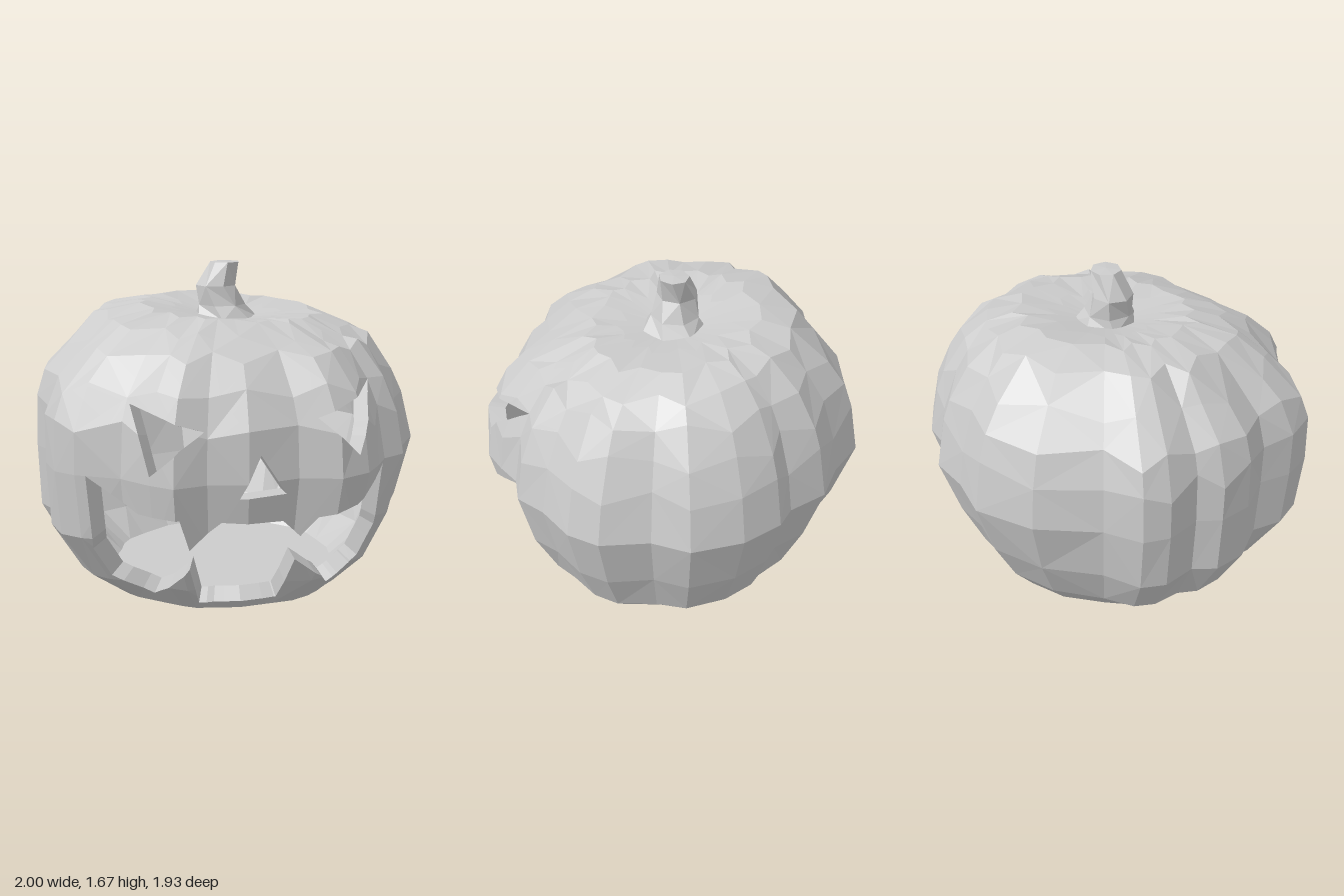
import * as THREE from 'three';

const material = new THREE.MeshStandardMaterial({ color: 0xcccccc, flatShading: true, side: THREE.DoubleSide });

// Lobed plan outline [x, z], from the left side round the front, right and back
const OUTLINE = [
  [1, 0.03], [0.98, 0.2], [0.87, 0.38], [0.82, 0.54], [0.7, 0.61], [0.63, 0.73], [0.55, 0.84], [0.4, 0.92],
  [0.2, 0.88], [-0.05, 0.95], [-0.24, 0.92], [-0.4, 0.96], [-0.5, 0.88], [-0.62, 0.75], [-0.83, 0.65],
  [-0.92, 0.57], [-0.96, 0.4], [-0.91, 0.24], [-1, 0.05], [-0.99, -0.12], [-0.91, -0.22], [-0.92, -0.4],
  [-0.86, -0.52], [-0.68, -0.61], [-0.44, -0.85], [-0.15, -0.97], [0.07, -0.91], [0.28, -0.9],
  [0.45, -0.77], [0.57, -0.75], [0.75, -0.62], [0.9, -0.4], [0.9, -0.2],
];
// Horizontal rings [height, lobe strength, scale to the left, right, front, back]
const RINGS = [
  [0, 0.3, 0.65, 0.67, 0.64, 0.64], [0.16, 0.7, 0.82, 0.86, 0.78, 0.76], [0.42, 1, 0.92, 0.99, 0.94, 0.89],
  [0.74, 1, 1, 1, 1, 1], [0.98, 1, 0.94, 1, 0.985, 0.96], [1.14, 1, 0.865, 0.95, 0.9, 0.9],
  [1.29, 0.9, 0.775, 0.81, 0.74, 0.79], [1.39, 0.7, 0.66, 0.67, 0.6, 0.64], [1.445, 0.4, 0.5, 0.45, 0.42, 0.45],
  [1.42, 0.2, 0.28, 0.28, 0.28, 0.28], [1.395, 0, 0.13, 0.13, 0.13, 0.13],
];
// Carved openings [x, y]
const MOUTH = [
  [-0.78, 0.74], [-0.75, 0.36], [-0.66, 0.19], [-0.45, 0.08], [-0.39, 0.17], [-0.31, 0.3], [-0.24, 0.05],
  [0.15, 0.05], [0.21, 0.3], [0.36, 0.18], [0.43, 0.08], [0.61, 0.19], [0.68, 0.37], [0.69, 0.72],
  [0.5, 0.58], [0.3, 0.54], [0.22, 0.44], [0.13, 0.53], [-0.17, 0.55], [-0.32, 0.42], [-0.37, 0.58], [-0.55, 0.58],
];
const HOLES = [
  MOUTH,
  [[-0.57, 1.09], [-0.5, 0.78], [-0.37, 0.91], [-0.25, 0.985]],
  [[0.62, 1.13], [0.29, 1.02], [0.4, 0.93], [0.5, 0.83]],
  [[0.01, 0.87], [-0.09, 0.67], [0.14, 0.67]],
].map((pts) => pts.map(([x, y]) => new THREE.Vector2(x, y)));

const CENTRE = new THREE.Vector3(0, 0.72, 0);
const inward = (p) => p.clone().sub(CENTRE).multiplyScalar(0.91).add(CENTRE);
const side2 = (a, b, p) => ((b.x - a.x) * (p.y - a.y) - (b.y - a.y) * (p.x - a.x)) / Math.hypot(b.x - a.x, b.y - a.y);

// Split a polygon by the line a-b as seen from the front
function split(poly, a, b) {
  const eps = 1e-6, d = poly.map((p) => side2(a, b, p));
  const left = [], right = [];
  poly.forEach((p, i) => {
    const j = (i + 1) % poly.length;
    if (d[i] >= -eps) left.push(p);
    if (d[i] <= eps) right.push(p);
    if ((d[i] > eps && d[j] < -eps) || (d[i] < -eps && d[j] > eps)) {
      const cut = p.clone().lerp(poly[j], d[i] / (d[i] - d[j]));
      left.push(cut);
      right.push(cut);
    }
  });
  return [Math.max(...d) > eps ? left : [], Math.min(...d) < -eps ? right : []];
}

// Cut a convex piece out of polygons; returns what is kept and what is removed
function subtract(polys, piece) {
  const kept = [], removed = [];
  for (const poly of polys) {
    let rest = poly;
    for (let i = 0; i < 3 && rest.length > 2; i++) {
      const [inside, outside] = split(rest, piece[i], piece[(i + 1) % 3]);
      if (outside.length > 2) kept.push(outside);
      rest = inside;
    }
    if (rest.length > 2) removed.push(rest);
  }
  return [kept, removed];
}

function meshFrom(name, polys) {
  const pos = [];
  for (const poly of polys)
    for (let i = 1; i < poly.length - 1; i++)
      for (const p of [poly[0], poly[i], poly[i + 1]]) pos.push(p.x, p.y, p.z);
  const geometry = new THREE.BufferGeometry();
  geometry.setAttribute('position', new THREE.Float32BufferAttribute(pos, 3));
  geometry.computeVertexNormals();
  const mesh = new THREE.Mesh(geometry, material);
  mesh.name = name;
  return mesh;
}

// Triangles joining a stack of rings, with fans closing both ends
function skin(rings, bottom, top) {
  const tris = [], n = rings[0].length, last = rings[rings.length - 1];
  for (let i = 0; i < n; i++) {
    const j = (i + 1) % n;
    tris.push([bottom, rings[0][i], rings[0][j]], [top, last[j], last[i]]);
    for (let r = 0; r < rings.length - 1; r++) {
      const a = rings[r][j], b = rings[r][i], c = rings[r + 1][i], d = rings[r + 1][j];
      if ((i + r) % 2) tris.push([a, b, c], [a, c, d]);
      else tris.push([a, b, d], [b, c, d]);
    }
  }
  return tris;
}

function pumpkinSkin() {
  const rings = RINGS.map((ring, k) => OUTLINE.map(([x, z], i) => {
    // uneven facets: corners slide up and down the profile on the upper rings
    const slide = k > 3 && k < 10 ? 0.2 * Math.sin(i * 2.7 + k * 4.1) : 0;
    const next = slide ? RINGS[k + Math.sign(slide)] : ring;
    const [y, lobe, left, right, front, back] = ring.map((v, c) => THREE.MathUtils.lerp(v, next[c], Math.abs(slide)));
    const r = Math.hypot(x, z), mean = 0.96;
    const scale = ((x > 0 ? left : right) * x * x + (z > 0 ? front : back) * z * z) / (r * r);
    const s = ((mean + (r - mean) * lobe) / r) * scale;
    // the crown dips towards the front left
    const tilt = y > 1.33 ? -0.06 * (x + z) * s : 0;
    return new THREE.Vector3(x * s, y + tilt, z * s);
  }));
  return skin(rings, new THREE.Vector3(0, 0, 0), new THREE.Vector3(0, 1.39, 0));
}

function stemSkin() {
  const rings = [[1.38, 0.17, 0], [1.45, 0.125, -0.02], [1.55, 0.105, -0.05], [1.67, 0.078, 0]].map(([y, r, cx], k) =>
    Array.from({ length: 7 }, (_, i) => {
      const t = ((i + 0.25 * k) / 7) * Math.PI * 2;
      return new THREE.Vector3(cx + r * Math.cos(t), y, r * Math.sin(t));
    }));
  return skin(rings, new THREE.Vector3(0, 1.38, 0), new THREE.Vector3(0, 1.675, 0));
}

export function createModel() {
  const group = new THREE.Group();
  group.name = 'carvedPumpkin';

  // Carve the openings through the front of the skin
  const all = pumpkinSkin();
  const isFront = (t) => t.every((p) => p.z > 0.1 && p.y < 1.38) && t.some((p) => p.y > 0);
  const back = all.filter((t) => !isFront(t));
  let front = all.filter(isFront);
  const rim = [];
  for (const hole of HOLES) {
    const onEdge = (a, b) => hole.some((p, i) => {
      const q = hole[(i + 1) % hole.length];
      return Math.abs(side2(p, q, a)) < 1e-5 && Math.abs(side2(p, q, b)) < 1e-5 &&
        new THREE.Vector2((a.x + b.x) / 2, (a.y + b.y) / 2).distanceTo(p.clone().add(q).multiplyScalar(0.5)) <= p.distanceTo(q) / 2;
    });
    for (const face of THREE.ShapeUtils.triangulateShape(hole, [])) {
      const piece = face.map((i) => hole[i]);
      if (THREE.ShapeUtils.area(piece) < 0) piece.reverse();
      const [kept, removed] = subtract(front, piece);
      front = kept;
      // Thickness of the flesh around the opening
      for (const poly of removed) poly.forEach((a, i) => {
        const b = poly[(i + 1) % poly.length];
        if (onEdge(a, b)) rim.push([a, b, inward(b), inward(a)]);
      });
    }
  }
  const shell = [...back, ...front];
  group.add(meshFrom('outerSkin', shell));
  group.add(meshFrom('innerWall', shell.map((poly) => poly.map(inward).reverse())));
  group.add(meshFrom('carvedRims', rim));
  group.add(meshFrom('stem', stemSkin()));
  return group;
}
